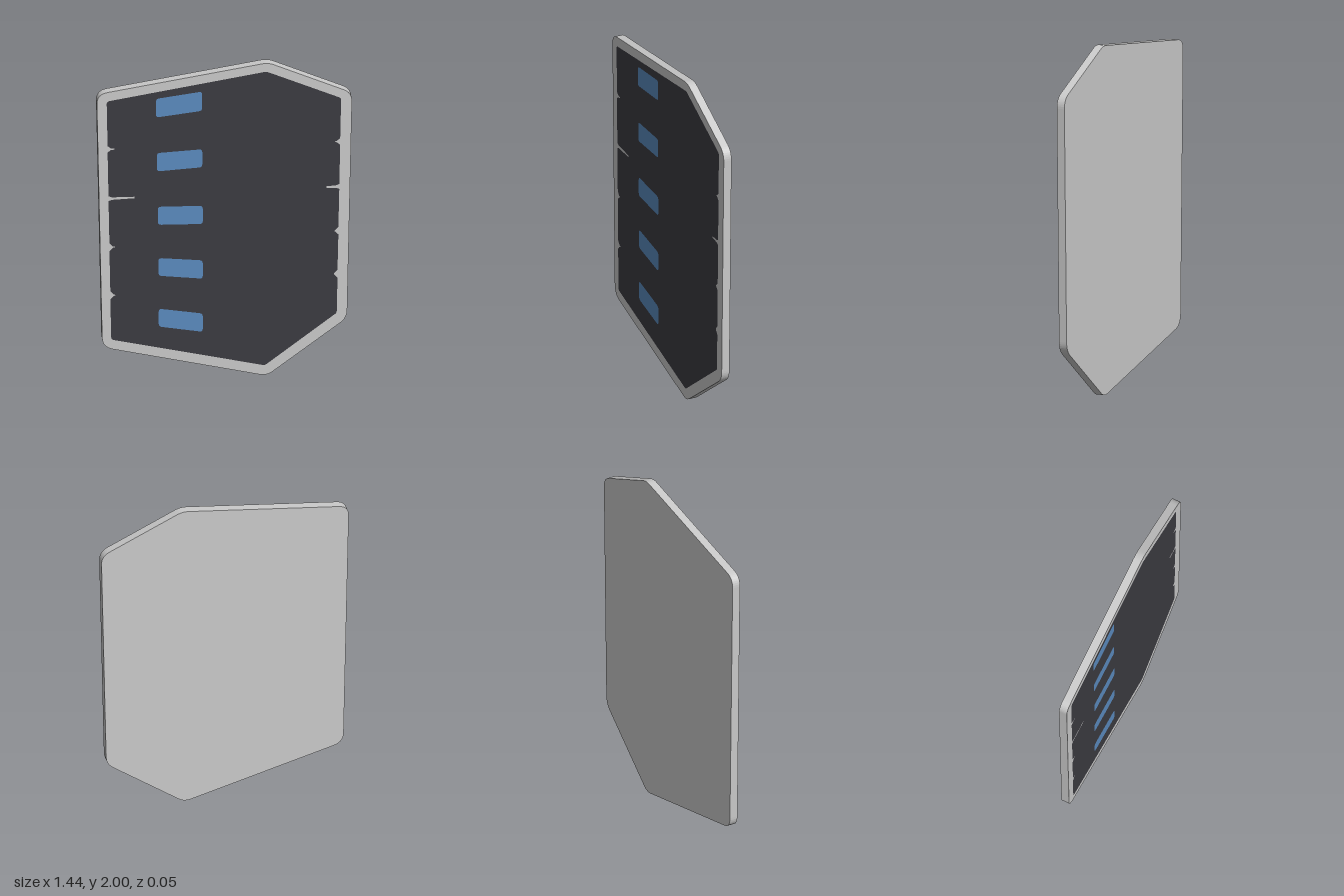
import * as THREE from 'three';

const grey = new THREE.MeshStandardMaterial({ color: 0xcacaca });
grey.name = 'pale grey';
const dark = new THREE.MeshStandardMaterial({ color: 0x3c3b41 });
dark.name = 'charcoal';
const blue = new THREE.MeshStandardMaterial({ color: 0x5b8bc0 });
blue.name = 'blue';

// Polygon whose corners [x, y, cut] are rounded off by the cut length
function roundedShape(corners) {
  const pts = corners.map(([x, y]) => new THREE.Vector2(x, y));
  const shape = new THREE.Shape();
  corners.forEach(([, , cut = 0], i) => {
    const p = pts[i];
    const toward = (q) => p.clone().add(q.clone().sub(p).setLength(cut));
    const a = toward(pts[(i + pts.length - 1) % pts.length]);
    const b = toward(pts[(i + 1) % pts.length]);
    if (i === 0) shape.moveTo(a.x, a.y);
    else shape.lineTo(a.x, a.y);
    if (cut > 0) shape.quadraticCurveTo(p.x, p.y, b.x, b.y);
  });
  shape.closePath();
  return shape;
}

function addMesh(group, name, geometry, material, z) {
  const mesh = new THREE.Mesh(geometry, material);
  mesh.name = name;
  mesh.position.z = z;
  group.add(mesh);
}

// Small notch in a side edge, listed from top to bottom; dir points inward
function notch(edgeX, dir, [y, depth, mouth, slit]) {
  const x = edgeX(y);
  return [
    [x, y + mouth + 0.008],
    [x + dir * 0.018, y + slit + 0.003],
    [x + dir * depth, y + slit],
    [x + dir * depth, y - slit],
    [x + dir * 0.018, y - slit - 0.003],
    [x, y - mouth - 0.008],
  ];
}

export function createModel() {
  const group = new THREE.Group();
  group.name = 'panel';

  // Six-sided slab
  const outline = roundedShape([
    [-0.721, 1.856, 0.062], [-0.689, 0.227, 0.062], [0.236, -0.008, 0.04],
    [0.688, 0.338, 0.05], [0.717, 1.785, 0.055], [0.245, 2.005, 0.035],
  ]);
  const slab = new THREE.ExtrudeGeometry(outline, { depth: 0.048, bevelEnabled: false, curveSegments: 8 });
  addMesh(group, 'slab', slab, grey, -0.025);

  // Dark face with notched sides
  const leftX = (y) => -0.635 - 0.0165 * y;
  const rightX = (y) => 0.623 + 0.018 * y;
  const leftNotches = [[1.5, 0.04, 0.012, 0.003], [1.182, 0.145, 0.008, 0.005], [0.87, 0.03, 0.018, 0.002], [0.56, 0.028, 0.018, 0.002]];
  const rightNotches = [[0.625, 0.02, 0.018, 0.002], [0.902, 0.022, 0.015, 0.002], [1.187, 0.072, 0.008, 0.005], [1.476, 0.028, 0.014, 0.002]];
  const face = roundedShape([
    [-0.665, 1.808, 0.018],
    ...leftNotches.flatMap((n) => notch(leftX, 1, n)),
    [-0.639, 0.275, 0.015], [0.225, 0.06, 0.015], [0.63, 0.375, 0.012],
    ...rightNotches.flatMap((n) => notch(rightX, -1, n).reverse()),
    [0.655, 1.755, 0.015], [0.235, 1.949, 0.015],
  ]);
  addMesh(group, 'darkFace', new THREE.ShapeGeometry(face), dark, 0.024);

  // Blue windows: left edge, left bottom/top, right edge, right bottom/top
  const windows = [
    [-0.387, 1.69, 1.81, -0.128, 1.718, 1.842],
    [-0.382, 1.343, 1.461, -0.127, 1.355, 1.471],
    [-0.377, 0.999, 1.115, -0.124, 0.99, 1.107],
    [-0.373, 0.671, 0.785, -0.124, 0.638, 0.756],
    [-0.372, 0.344, 0.459, -0.124, 0.296, 0.414],
  ];
  windows.forEach(([xl, lb, lt, xr, rb, rt], i) => {
    const shape = roundedShape([[xl, lt, 0.018], [xl, lb, 0.018], [xr, rb, 0.018], [xr, rt, 0.018]]);
    addMesh(group, `window${i + 1}`, new THREE.ShapeGeometry(shape, 4), blue, 0.025);
  });

  return group;
}
